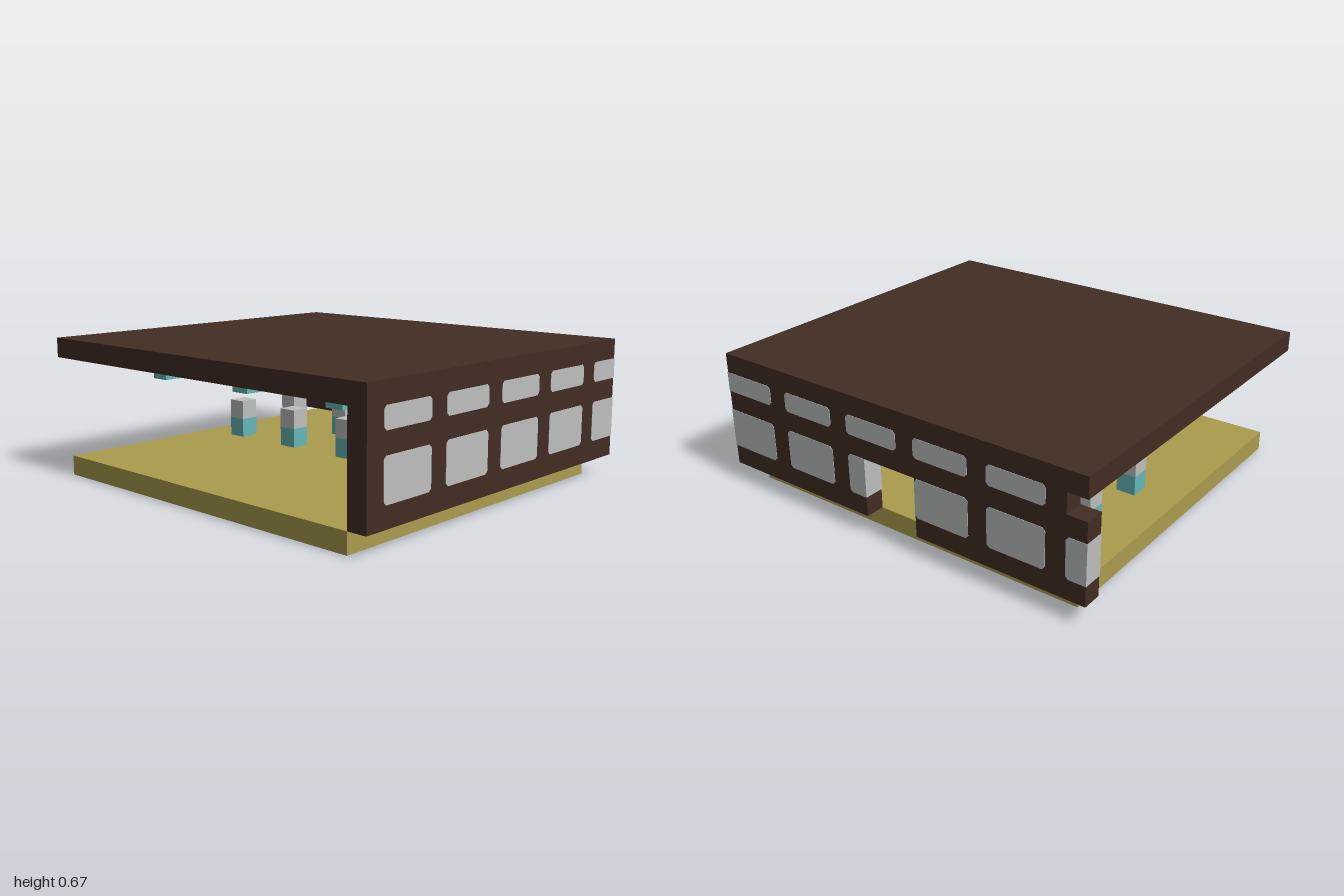
import * as THREE from 'three';

// Everything sits on a grid of 21 x 7 x 19 cells
const U = 2 / 21;
const X = i => -1 + i * U;
const Z = k => (k - 9.5) * U;
const E = 0.002; // how far glass stands proud of the wall

export function createModel() {
  const model = new THREE.Group();
  const timber = new THREE.MeshStandardMaterial({ name: 'dark timber', color: 0x422d24 });
  const glass = new THREE.MeshStandardMaterial({ name: 'pale glass', color: 0xbdbfbe });
  const teal = new THREE.MeshStandardMaterial({ name: 'teal', color: 0x64b8b8 });
  const straw = new THREE.MeshStandardMaterial({ name: 'straw floor', color: 0xac9c4e });

  // Box spanning grid lines x0..x1, y0..y1, z0..z1
  function block(name, mat, x0, x1, y0, y1, z0, z1, parent = model) {
    const mesh = new THREE.Mesh(
      new THREE.BoxGeometry((x1 - x0) * U, (y1 - y0) * U, (z1 - z0) * U), mat);
    mesh.position.set((X(x0) + X(x1)) / 2, (y0 + y1) / 2 * U, (Z(z0) + Z(z1)) / 2);
    mesh.name = name;
    parent.add(mesh);
    return mesh;
  }

  // Pane with clipped corners; a straight side has square corners
  function pane(a, b, y0, y1, clipA, clipB) {
    const c = 0.014;
    const ca = clipA ? c : 0, cb = clipB ? c : 0;
    if (!clipA) a -= E;
    if (!clipB) b += E;
    const pts = [[a + ca, y0], [b - cb, y0]];
    if (clipB) pts.push([b, y0 + c], [b, y1 - c]);
    pts.push([b - cb, y1], [a + ca, y1]);
    if (clipA) pts.push([a, y1 - c], [a, y0 + c]);
    const shape = new THREE.Shape(pts.map(p => new THREE.Vector2(...p)));
    return new THREE.ExtrudeGeometry(shape, { depth: U + 2 * E, bevelEnabled: false });
  }

  // Floor and roof
  block('floor', straw, 1, 20, 0, 1, 1, 19);
  block('roof', timber, 0, 21, 6, 7, 0, 19);

  // Back wall with a doorway and an open notch at its right end
  const backWall = new THREE.Group();
  backWall.name = 'backWall';
  model.add(backWall);
  block('backWallRight', timber, 0, 9, 1, 4, 0, 1, backWall);
  block('backWallLeft', timber, 12, 21, 1, 4, 0, 1, backWall);
  block('backWallBeam', timber, 0, 21, 4, 5, 0, 1, backWall);
  block('backWallTop', timber, 1, 21, 5, 6, 0, 1, backWall);

  // Side wall
  const sideWall = new THREE.Group();
  sideWall.name = 'sideWall';
  model.add(sideWall);
  block('sideWallPanel', timber, 20, 21, 1, 6, 1, 19, sideWall);

  // Windows: [start, end, clip start, clip end]
  const lower = [2, 4], upper = [5, 6];
  function backWindow([a, b, clipA, clipB], [y0, y1]) {
    const mesh = new THREE.Mesh(pane(X(a), X(b), y0 * U, y1 * U, clipA, clipB), glass);
    mesh.position.z = Z(0) - E;
    mesh.name = 'backWindow';
    backWall.add(mesh);
  }
  function sideWindow([a, b, clipA, clipB], [y0, y1]) {
    // the pane runs along -z once turned, so its ends swap
    const mesh = new THREE.Mesh(pane(-Z(b), -Z(a), y0 * U, y1 * U, clipB, clipA), glass);
    mesh.rotation.y = Math.PI / 2;
    mesh.position.x = X(20) - E;
    mesh.name = 'sideWindow';
    sideWall.add(mesh);
  }
  const shared = [[2, 5, true, true], [6, 9, true, true], [14, 17, true, true], [18, 21, true, false]];
  for (const w of [...shared, [0, 1, false, true], [12, 13, false, true]]) backWindow(w, lower);
  for (const w of [...shared, [10, 13, true, true]]) backWindow(w, upper);
  for (const row of [lower, upper]) {
    sideWindow([0, 2, false, true], row);
    for (const k of [3, 7, 11, 15]) sideWindow([k, k + 3, true, true], row);
  }

  // Short posts: teal foot, pale top
  for (const i of [3, 7, 11, 15]) {
    for (const k of [5, 9]) {
      const post = new THREE.Group();
      post.name = 'post';
      model.add(post);
      block('postFoot', teal, i, i + 1, 1, 2, k, k + 1, post);
      block('postTop', glass, i, i + 1, 2, 3, k, k + 1, post);
    }
  }

  // Ceiling lamps
  for (const i of [4, 10, 16]) {
    for (const k of [3, 9, 15]) block('ceilingLamp', teal, i, i + 1, 5, 6, k, k + 1);
  }

  return model;
}
